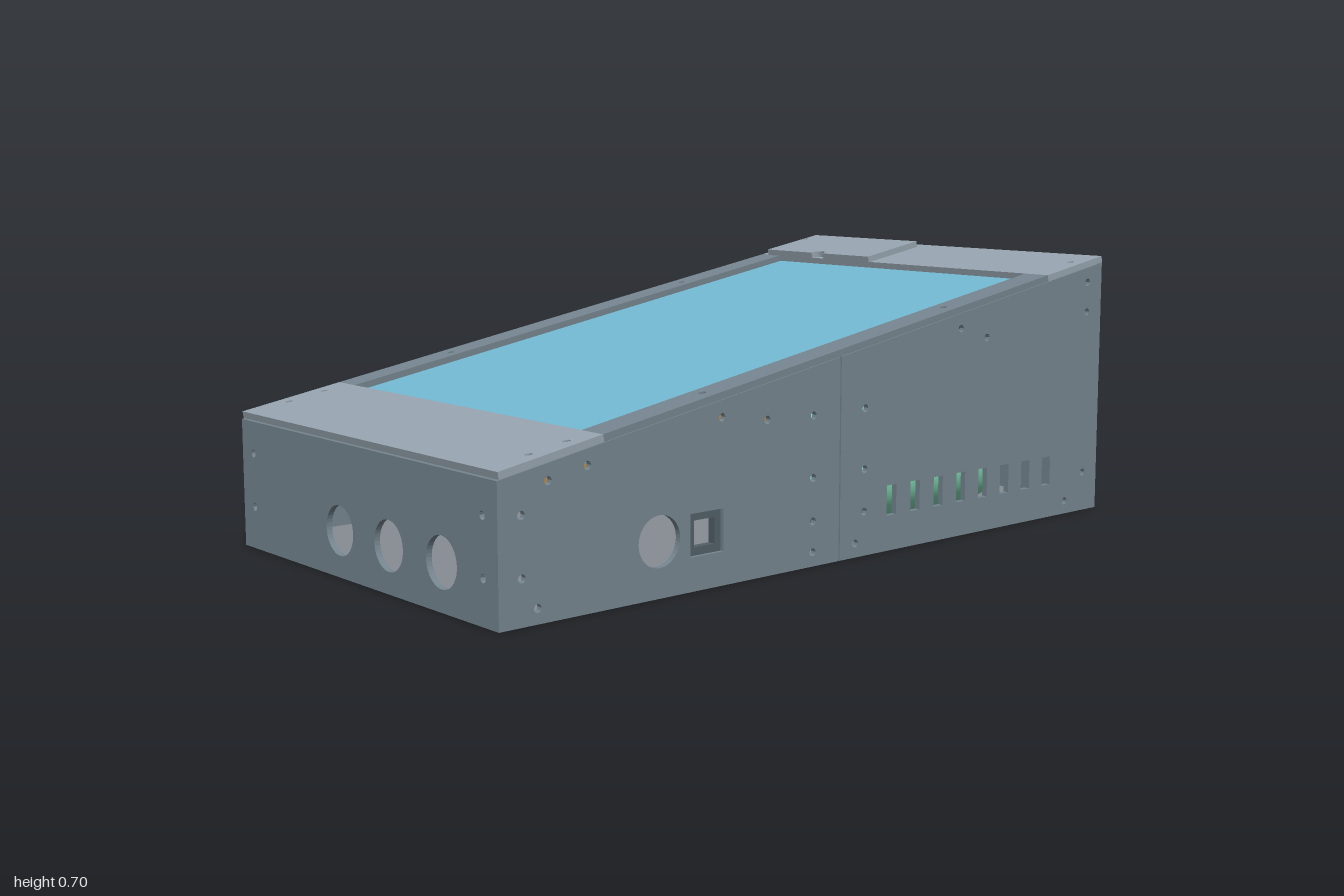
import * as THREE from 'three';
import { RoundedBoxGeometry } from 'three/addons/geometries/RoundedBoxGeometry.js';

const W = 0.55;          // half width
const T = 0.015;         // wall thickness
const SLOPE = 0.1775;    // rise of the top per unit of depth
const TILT = Math.atan(SLOPE);

const material = (name, color) => {
  const m = new THREE.MeshStandardMaterial({ color });
  m.name = name;
  return m;
};

// Outline and hole helpers
const polygon = (pts) => new THREE.Shape(pts.map(([x, y]) => new THREE.Vector2(x, y)));
const rect = (cx, cy, w, h) => polygon([
  [cx - w / 2, cy - h / 2], [cx + w / 2, cy - h / 2], [cx + w / 2, cy + h / 2], [cx - w / 2, cy + h / 2]]);
const circle = (cx, cy, r, fine = 10) => {
  const pts = [];
  for (let i = 0; i < fine; i++) {
    const a = (i / fine) * Math.PI * 2;
    pts.push([cx + r * Math.cos(a), cy + r * Math.sin(a)]);
  }
  return polygon(pts);
};
const plate = (shape, holes = [], depth = T) => {
  shape.holes.push(...holes);
  return new THREE.ExtrudeGeometry(shape, { depth, bevelEnabled: false });
};
// Lays a plate flat: outline y becomes -z, thickness goes up
const lay = (geo) => geo.rotateX(-Math.PI / 2);

export function createModel() {
  const body = material('slate body', 0x75858f);
  const lid = material('light grey lid', 0x97a4af);
  const base = material('grey base', 0x868c92);
  const glass = material('blue screen', 0x72b9d1);
  const green = material('mint green', 0x82d9b2);
  const amber = material('amber board', 0xb58a4a);
  const dark = material('dark socket', 0x525e67);

  const model = new THREE.Group();
  model.name = 'slopedConsole';
  const add = (parent, name, geo, mat, x = 0, y = 0, z = 0) => {
    const mesh = new THREE.Mesh(geo, mat);
    mesh.name = name;
    mesh.position.set(x, y, z);
    parent.add(mesh);
    return mesh;
  };

  // Base plate with four slots
  const slots = [];
  for (const x of [-0.43, 0.43]) for (const z of [-0.75, -0.1]) slots.push(rect(x, -z, 0.03, 0.09));
  add(model, 'basePlate', lay(plate(rect(0, 0, 2 * W - 0.01, 1.99), slots)), base);

  // Side walls, each in a front and a rear half, drawn over (-z, y)
  const topAt = (z) => 0.4975 - SLOPE * z;
  const frontScrews = [[0.94, 0.24], [0.94, 0.105], [0.9, 0.035], [0.87, 0.305], [0.765, 0.325], [0.09, 0.215],
    [0.09, 0.11], [0.09, 0.035], [0.38, 0.39], [0.24, 0.37], [0.09, 0.365]];
  const rearScrews = [[-0.055, 0.035], [-0.085, 0.11], [-0.085, 0.215], [-0.085, 0.365], [-0.43, 0.535],
    [-0.53, 0.505], [-0.94, 0.625], [-0.94, 0.545], [-0.94, 0.105], [-0.865, 0.035]];
  const screwHoles = (list) => list.map(([z, y]) => circle(-z, y, 0.01));
  for (const side of [-1, 1]) {
    const name = side > 0 ? 'left' : 'right';
    const x = side > 0 ? W - T : -W;
    const half = (z0, z1, holes) => plate(
      polygon([[-z0, 0], [-z1, 0], [-z1, topAt(z1)], [-z0, topAt(z0)]]), holes).rotateY(Math.PI / 2);
    add(model, name + 'FrontWall', half(1, 0.002, [
      ...screwHoles(frontScrews), circle(-0.565, 0.13, 0.06, 40), rect(-0.425, 0.13, 0.1, 0.1)]), body, x);
    const vents = [];
    for (let i = 0; i < 8; i++) vents.push(rect(0.182 + 0.0858 * i, 0.127, 0.034, 0.076));
    add(model, name + 'RearWall', half(-0.002, -1, [...screwHoles(rearScrews), ...vents]), body, x);
    // Recessed socket frame
    add(model, name + 'SocketFrame', plate(rect(-0.425, 0.13, 0.1, 0.1), [rect(-0.425, 0.13, 0.062, 0.062)], 0.02)
      .rotateY(Math.PI / 2), dark, side > 0 ? W - 0.03 : -W + 0.01);
  }

  // Front wall with three round openings
  const frontHoles = [-0.087, 0.125, 0.338].map((x) => circle(x, 0.112, 0.06, 40));
  for (const x of [-0.495, 0.495]) for (const y of [0.105, 0.24]) frontHoles.push(circle(x, y, 0.01));
  add(model, 'frontWall', plate(rect(0, 0.16, 2 * W - 0.002, 0.32), frontHoles), body, 0, 0, 1 - T);

  // Back wall with fan opening and connector window
  const fx = 0.02, fy = 0.375, fr = 0.24;
  const backHoles = [circle(fx, fy, fr, 64), rect(-0.38, 0.257, 0.26, 0.115)];
  for (const s of [-1, 1]) {
    for (const y of [0.105, 0.54]) backHoles.push(circle(0.495 * s, y, 0.01));
    for (const t of [-1, 1]) backHoles.push(circle(fx + 0.23 * s, fy + 0.21 * t, 0.011));
  }
  add(model, 'backWall', plate(rect(0, 0.3375, 2 * W - 0.002, 0.675), backHoles), body, 0, 0, -1);

  // Fan grille: hub and swept spokes
  const grille = new THREE.Group();
  grille.name = 'fanGrille';
  grille.position.set(fx, fy, -1);
  model.add(grille);
  add(grille, 'hub', plate(circle(0, 0, 0.052, 32)), body);
  const inner = [], outer = [];
  for (let i = 0; i <= 8; i++) {
    const r = 0.04 + (fr + 0.003 - 0.04) * (i / 8);
    const a = 0.85 * Math.pow(i / 8, 1.3);
    const h = 0.009 / r;
    inner.push([r * Math.cos(a - h), r * Math.sin(a - h)]);
    outer.unshift([r * Math.cos(a + h), r * Math.sin(a + h)]);
  }
  const spoke = plate(polygon([...inner, ...outer]));
  for (let i = 0; i < 9; i++) add(grille, 'spoke', spoke, body).rotation.z = (i / 9) * Math.PI * 2;

  // Sloped top assembly, its upper face at local y = 0
  const top = new THREE.Group();
  top.name = 'slopedTop';
  top.position.set(0, 0.516, 0);
  top.rotation.x = TILT;
  model.add(top);
  const k = 1 / Math.cos(TILT), LT = 0.017;
  const end = 1.0135, openFront = 0.722 * k, openBack = -0.77 * k;
  const strip = (x, w, z0, z1, screws) => lay(plate(
    rect(x, -(z0 + z1) / 2, w, z1 - z0), screws.map(([sx, sz]) => circle(sx, -sz * k, 0.009)), LT));
  add(top, 'frontLid', strip(0, 2 * W, openFront, end,
    [[-0.51, 0.79], [0.51, 0.79], [-0.51, 0.89], [0.51, 0.89]]), lid, 0, -LT);
  add(top, 'backLid', strip(0, 2 * W, -end, openBack, [[-0.51, -0.915], [0.51, -0.915]]), lid, 0, -LT);
  for (const s of [-1, 1]) {
    add(top, 'sideRail', strip(s * 0.512, 0.076, openBack, openFront,
      [[s * 0.51, -0.405], [s * 0.51, 0.405]]), body, 0, -LT);
  }

  // Raised access cover with a finger notch
  const z0 = 0.765 * k, z1 = 0.97 * k;
  const cover = new THREE.Shape();
  cover.moveTo(-0.52, z0);
  cover.lineTo(-0.33, z0);
  cover.absarc(-0.307, z0, 0.023, Math.PI, 0, true);
  cover.lineTo(-0.097, z0);
  cover.lineTo(-0.097, z1);
  cover.lineTo(-0.52, z1);
  add(top, 'accessCover', lay(plate(cover, [circle(-0.51, 0.915 * k, 0.009)], LT)), lid);

  // Screen panel and the board behind it
  add(top, 'screen', new THREE.BoxGeometry(1.0, 0.048, 1.58), glass, 0, -0.042, -0.02);
  add(top, 'screenBoard', new THREE.BoxGeometry(0.92, 0.078, 1.3), amber, 0, -0.106, 0.2);

  // Rounded module inside the rear half
  add(model, 'innerModule', new RoundedBoxGeometry(0.8, 0.24, 0.76, 8, 0.119), green, 0, 0.137, -0.47);

  return model;
}
